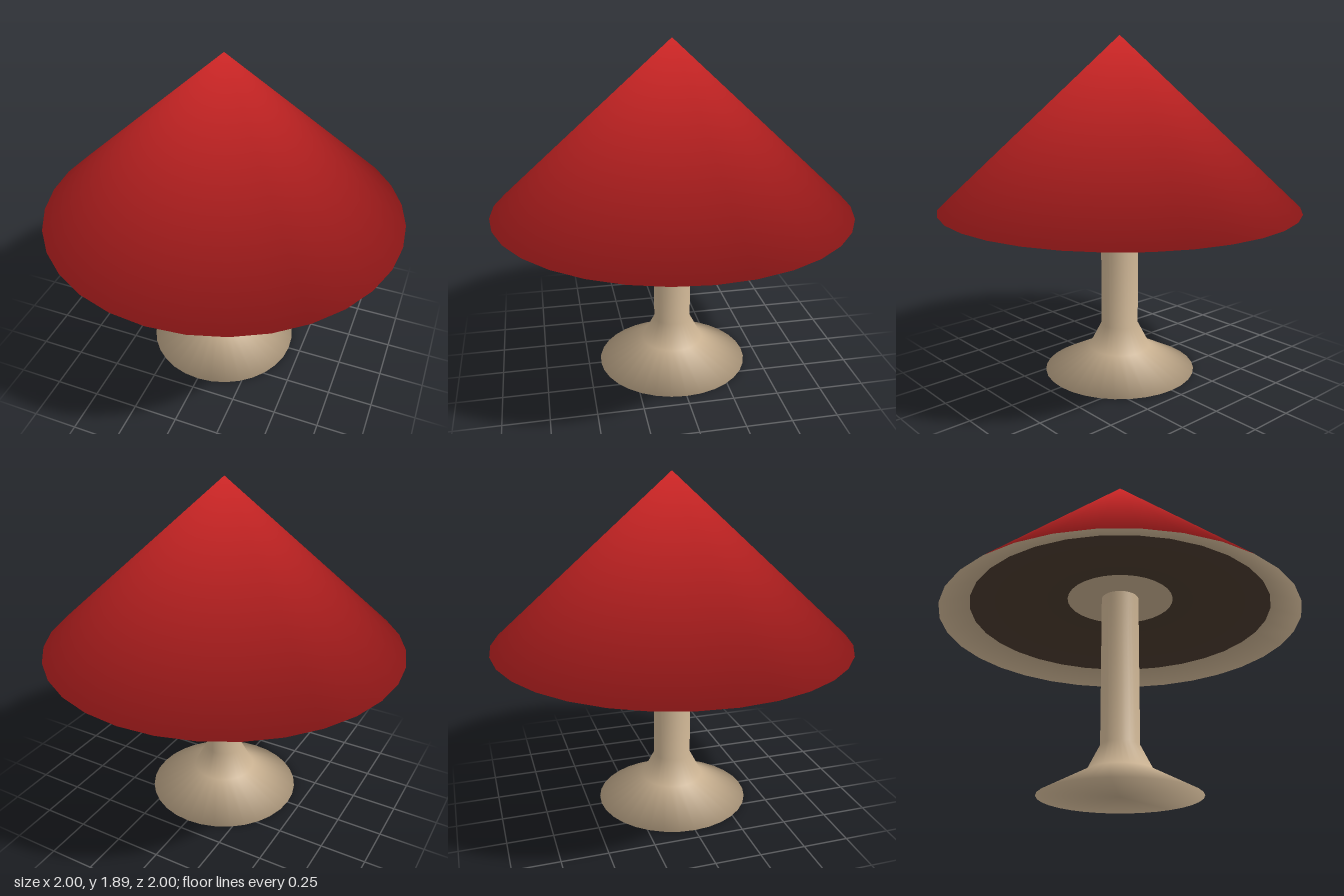
import * as THREE from 'three';

const SEGMENTS = 32;

// Revolves profile rows [radius, y, normalOut, normalUp] around the y axis,
// with the smooth normals given for each row.
function revolve(name, material, rows) {
  const geometry = new THREE.LatheGeometry(rows.map(([r, y]) => new THREE.Vector2(r, y)), SEGMENTS);
  const normal = geometry.attributes.normal;
  for (let i = 0; i <= SEGMENTS; i++) {
    const angle = (i / SEGMENTS) * Math.PI * 2;
    rows.forEach(([, , out, up], j) => {
      const n = new THREE.Vector3(out * Math.sin(angle), up, out * Math.cos(angle)).normalize();
      normal.setXYZ(i * rows.length + j, n.x, n.y, n.z);
    });
  }
  const mesh = new THREE.Mesh(geometry, material);
  mesh.name = name;
  return mesh;
}

export function createModel() {
  const red = new THREE.MeshStandardMaterial({ name: 'capRed', color: 0xd02626 });
  const beige = new THREE.MeshStandardMaterial({ name: 'stemBeige', color: 0xc8b090 });
  const brown = new THREE.MeshStandardMaterial({ name: 'gillBrown', color: 0x4a3a2e });

  // Profile rows shared by neighbouring parts, so the shading runs on smoothly
  const rim = [1, 0.965, 0.84, -0.53];
  const gillOuter = [0.84, 1.03, 0.2, -0.98];
  const gillInner = [0.3, 1.12, 0, -1];

  const model = new THREE.Group();
  model.name = 'mushroom';
  model.add(
    // Pointed cap, its normals rolling over the rim to the underside
    revolve('cap', red, [rim, [0, 1.895, 0, 1]]),
    // Hollow underside: pale rim, dark gills, pale collar round the stem
    revolve('undersideRim', beige, [gillOuter, rim]),
    revolve('gills', brown, [gillInner, gillOuter]),
    revolve('collar', beige, [[0, 1.13, 0, -1], gillInner]),
    // Stem with its flared foot
    revolve('stem', beige, [
      [0, 0, 0, -1],
      [0.43, 0, 0.97, -0.24],
      [0.175, 0.135, 0.71, 0.7],
      [0.105, 0.27, 0.97, 0.24],
      [0.105, 1.13, 1, 0],
    ]),
  );
  return model;
}
